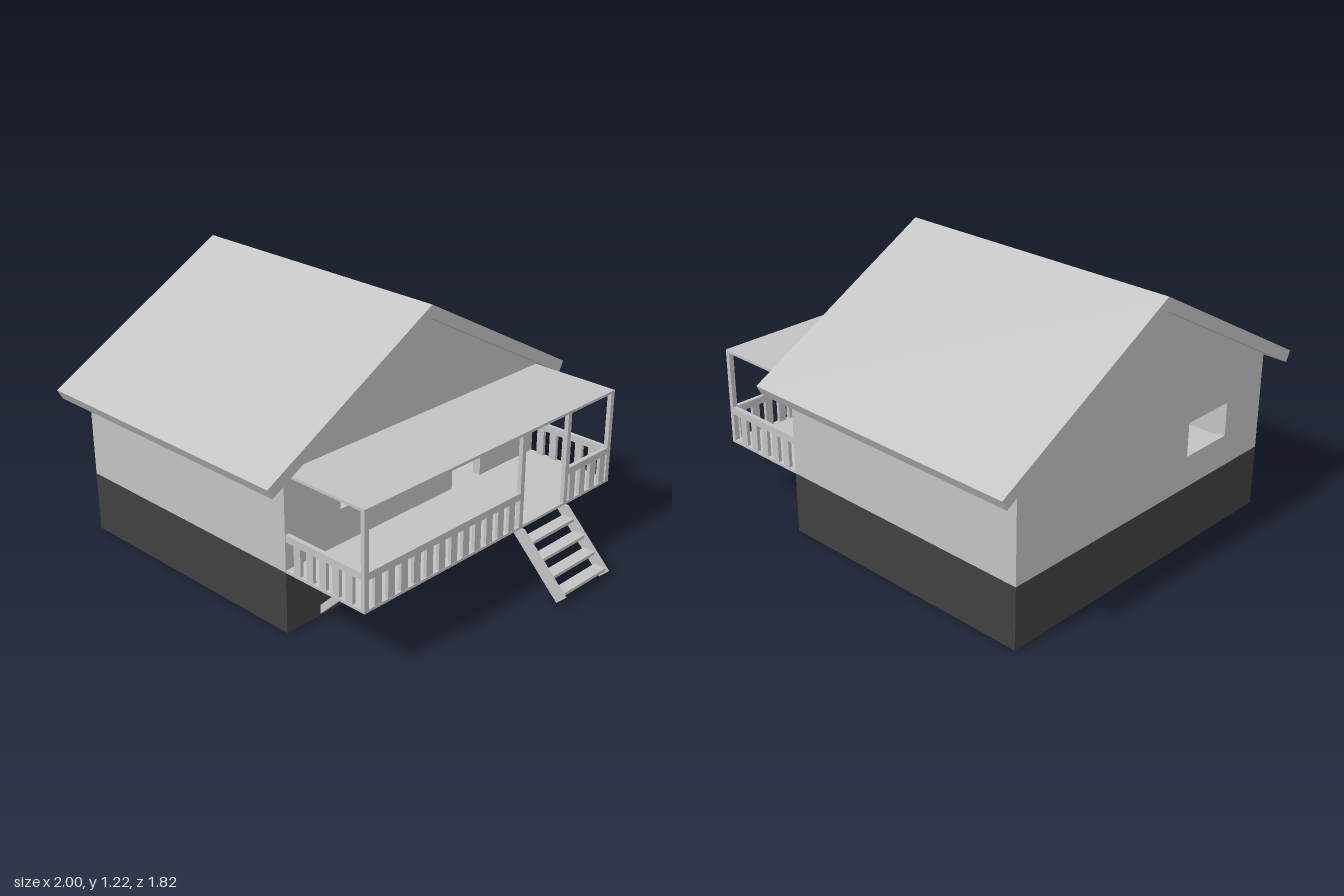
import * as THREE from 'three';

const grey = new THREE.MeshStandardMaterial({ color: 0xc2c2c2 });
grey.name = 'light grey';
const dark = new THREE.MeshStandardMaterial({ color: 0x404040 });
dark.name = 'dark grey';

export function createModel() {
  const house = new THREE.Group();
  house.name = 'house';

  const group = (name) => {
    const g = new THREE.Group();
    g.name = name;
    house.add(g);
    return g;
  };
  // Box given by its extents on each axis
  const box = (parent, name, x0, x1, y0, y1, z0, z1, material = grey) => {
    const mesh = new THREE.Mesh(new THREE.BoxGeometry(x1 - x0, y1 - y0, z1 - z0), material);
    mesh.position.set((x0 + x1) / 2, (y0 + y1) / 2, (z0 + z1) / 2);
    mesh.name = name;
    parent.add(mesh);
    return mesh;
  };
  const path = (points) => points.map(([a, b]) => new THREE.Vector2(a, b));
  // Profile in (z, y), extruded along x, with rectangular openings [z0, z1, y0, y1]
  const alongX = (parent, name, points, x0, x1, openings = []) => {
    const shape = new THREE.Shape(path(points.map(([z, y]) => [-z, y])));
    for (const [z0, z1, y0, y1] of openings) {
      shape.holes.push(new THREE.Path(path([[-z0, y0], [-z0, y1], [-z1, y1], [-z1, y0]])));
    }
    const geometry = new THREE.ExtrudeGeometry(shape, { depth: x1 - x0, bevelEnabled: false });
    geometry.rotateY(Math.PI / 2).translate(x0, 0, 0);
    const mesh = new THREE.Mesh(geometry, grey);
    mesh.name = name;
    parent.add(mesh);
  };
  // Profile in (x, y), extruded along z
  const alongZ = (parent, name, points, z0, z1) => {
    const geometry = new THREE.ExtrudeGeometry(new THREE.Shape(path(points)), { depth: z1 - z0, bevelEnabled: false });
    geometry.translate(0, 0, z0);
    const mesh = new THREE.Mesh(geometry, grey);
    mesh.name = name;
    parent.add(mesh);
  };

  // Base and hollow upper storey
  box(house, 'foundation', -0.95, 0.315, 0, 0.28, -0.78, 0.78, dark);
  const walls = group('walls');
  const t = 0.04;
  const gable = [[-0.78, 0.28], [0.78, 0.28], [0.78, 0.728], [0, 1.16], [-0.78, 0.728]];
  alongX(walls, 'porchGable', gable, 0.315 - t, 0.315, [[0.155, 0.475, 0.45, 0.618], [-0.405, -0.215, 0.29, 0.618]]);
  alongX(walls, 'rearGable', gable, -0.95, -0.95 + t, [[0.262, 0.53, 0.425, 0.58]]);
  for (const s of [-1, 1]) {
    const z = s * (0.78 - t / 2);
    box(walls, 'sideWall', -0.95 + t, 0.315 - t, 0.28, 0.725, z - t / 2, z + t / 2);
  }
  box(walls, 'floor', -0.95 + t, 0.315 - t, 0.28, 0.29, -0.78 + t, 0.78 - t);

  // Pitched roof slab
  alongX(house, 'roof', [
    [0, 1.22], [-0.912, 0.715], [-0.887, 0.668], [0, 1.16], [0.887, 0.668], [0.912, 0.715],
  ], -1, 0.37);

  // Porch deck, roof and posts
  const porch = group('porch');
  box(porch, 'deck', 0.315, 0.75, 0.278, 0.29, -0.78, 0.778);
  box(porch, 'porchRoof', 0.315, 0.75, 0.71, 0.722, -0.78, 0.778);
  for (const z of [0.767, -0.157, -0.462, -0.768]) {
    box(porch, 'post', 0.73, 0.75, 0.29, 0.71, z - 0.012, z + 0.011);
  }

  // Railings with balusters
  const railing = group('railing');
  const w = 0.0188;
  for (const [z0, z1, first, count] of [[-0.145, 0.755, 0.701, 12], [-0.756, -0.474, -0.51, 4]]) {
    box(railing, 'frontRail', 0.73, 0.75, 0.418, 0.45, z0, z1);
    for (let i = 0; i < count; i++) {
      const z = first - i * 0.0725;
      box(railing, 'frontBaluster', 0.732, 0.748, 0.29, 0.418, z - w, z + w);
    }
  }
  for (const z of [0.767, -0.769]) {
    box(railing, 'sideRail', 0.315, 0.73, 0.418, 0.45, z - 0.01, z + 0.01);
    for (let i = 0; i < 5; i++) {
      const x = 0.377 + i * 0.0717;
      box(railing, 'sideBaluster', x - w, x + w, 0.29, 0.418, z - 0.008, z + 0.008);
    }
  }

  // Diagonal braces under the deck
  const braces = group('braces');
  for (const z of [0.58, 0, -0.58]) {
    alongZ(braces, 'brace', [[0.315, 0.008], [0.587, 0.278], [0.543, 0.278], [0.315, 0.05]], z - 0.014, z + 0.014);
  }

  // Open stairs
  const stairs = group('stairs');
  for (const z of [-0.47, -0.167]) {
    alongZ(stairs, 'stringer', [[0.685, 0.278], [0.957, 0.006], [0.998, 0.045], [0.765, 0.278]], z, z + 0.012);
  }
  for (let i = 0; i < 4; i++) {
    const x = 0.748 + i * 0.06, y = 0.224 - i * 0.0575;
    box(stairs, 'tread', x, x + 0.058, y - 0.007, y + 0.007, -0.458, -0.167);
  }

  return house;
}
